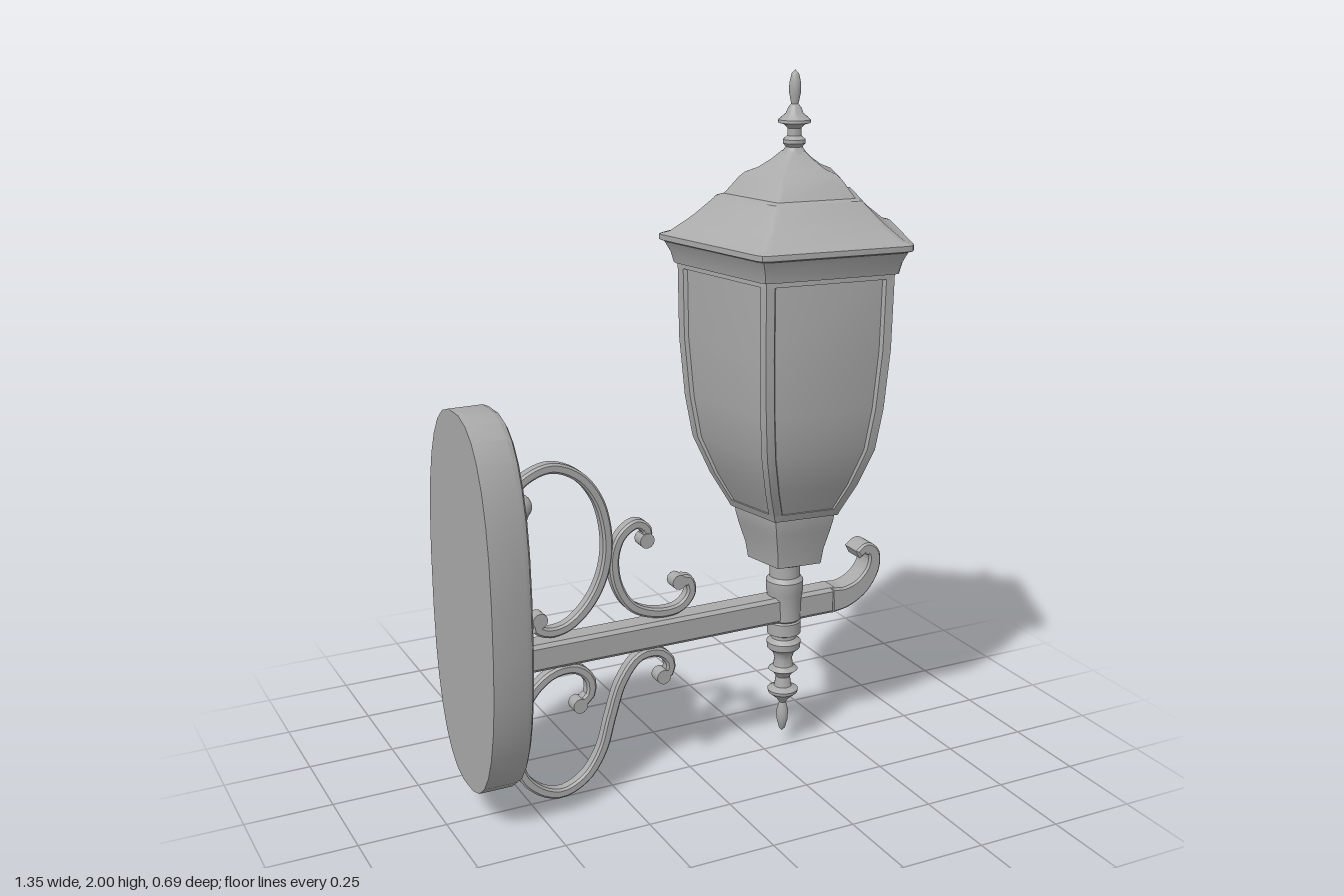
import * as THREE from 'three';
import { toCreasedNormals } from 'three/addons/utils/BufferGeometryUtils.js';

const metal = new THREE.MeshStandardMaterial({ color: 0xaaaaaa });
metal.name = 'greyMetal';
const LX = 0.315;   // lantern axis
const ZC = -0.009;  // centre plane of bracket and wall plate

function add(parent, name, geometry, x = 0, y = 0, z = 0) {
  const mesh = new THREE.Mesh(geometry, metal);
  mesh.name = name;
  mesh.position.set(x, y, z);
  parent.add(mesh);
  return mesh;
}

// Skin a closed solid over equal-length rings of Vector3
function loft(rings, crease = 0.45) {
  const pos = [];
  const tri = (...ps) => ps.forEach((p) => pos.push(p.x, p.y, p.z));
  const n = rings[0].length;
  for (let i = 0; i < rings.length - 1; i++) {
    for (let j = 0; j < n; j++) {
      const k = (j + 1) % n, a = rings[i], b = rings[i + 1];
      tri(a[j], b[j], a[k]);
      tri(a[k], b[j], b[k]);
    }
  }
  const middle = (r) => r.reduce((s, p) => s.add(p), new THREE.Vector3()).divideScalar(n);
  const first = rings[0], last = rings[rings.length - 1];
  const c0 = middle(first), c1 = middle(last);
  for (let j = 0; j < n; j++) {
    const k = (j + 1) % n;
    tri(c0, first[j], first[k]);
    tri(c1, last[k], last[j]);
  }
  const g = new THREE.BufferGeometry();
  g.setAttribute('position', new THREE.Float32BufferAttribute(pos, 3));
  return toCreasedNormals(g, crease);
}

const corner = (k, r, y) => {
  const a = THREE.MathUtils.degToRad(-84 + 72 * k);
  return new THREE.Vector3(r * Math.cos(a), y, r * Math.sin(a));
};

// Pentagon ring with softened corners
function pentagon(r, y, soft = 0.05) {
  const ring = [];
  for (let k = 0; k < 5; k++) {
    const c = corner(k, r, y);
    const p = c.clone().lerp(corner(k - 1, r, y), soft);
    const q = c.clone().lerp(corner(k + 1, r, y), soft);
    ring.push(p, p.clone().add(q).multiplyScalar(0.25).addScaledVector(c, 0.5), q);
  }
  return ring;
}
const pentaLoft = (profile, soft) => loft(profile.map(([r, y]) => pentagon(r, y, soft)));

const lathe = (profile) => toCreasedNormals(
  new THREE.LatheGeometry(profile.map(([r, y]) => new THREE.Vector2(r, y)), 20), 0.6);

// Flat bar of varying width following a curve in the xy plane
function bar(points, widthAt, depth, bevel, steps = 48) {
  const curve = new THREE.CatmullRomCurve3(points.map(([x, y]) => new THREE.Vector3(x, y, 0)), false, 'centripetal');
  const left = [], right = [];
  for (let i = 0; i <= steps; i++) {
    const t = i / steps, p = curve.getPointAt(t), d = curve.getTangentAt(t), h = widthAt(t) / 2;
    left.push(new THREE.Vector2(p.x - d.y * h, p.y + d.x * h));
    right.push(new THREE.Vector2(p.x + d.y * h, p.y - d.x * h));
  }
  const g = new THREE.ExtrudeGeometry(new THREE.Shape([...right, ...left.reverse()]), {
    depth: depth - 2 * bevel, bevelEnabled: true, bevelThickness: bevel,
    bevelSize: bevel, bevelOffset: -bevel, bevelSegments: 1,
  });
  g.translate(0, 0, bevel - depth / 2);
  return toCreasedNormals(g, 0.5);
}

// Oval ring facing +x; power above 2 makes it squarer
function oval(x, halfY, halfZ, power, n) {
  const sp = (v) => Math.sign(v) * Math.pow(Math.abs(v), 2 / power);
  return Array.from({ length: n }, (_, i) => {
    const a = ((i + 0.5) / n) * Math.PI * 2;
    return new THREE.Vector3(x, halfY * sp(Math.cos(a)), -halfZ * sp(Math.sin(a)));
  });
}

function makeLantern() {
  const lantern = new THREE.Group();
  lantern.name = 'lantern';
  lantern.position.x = LX;
  const body = [[0.165, 0.77], [0.225, 0.87], [0.275, 0.98], [0.297, 1.1], [0.313, 1.27], [0.317, 1.49]];

  add(lantern, 'glassPanels', pentaLoft(body.map(([r, y]) => [r * 0.96, y]), 0.02));

  // Corner posts, folded around each edge of the glass
  for (let k = 0; k < 5; k++) {
    add(lantern, 'cornerPost', loft(body.map(([r, y]) => {
      const c = corner(k, r, y);
      const side = (m) => c.clone().add(corner(m, r, y).sub(c).setLength(0.024));
      const a = side(k - 1), b = side(k + 1);
      const inner = (p) => new THREE.Vector3(p.x * 0.92, p.y, p.z * 0.92);
      return [inner(a), a, c, b, inner(b)];
    })));
  }
  add(lantern, 'upperBand', pentaLoft([[0.317, 1.465], [0.317, 1.49]], 0.02));
  add(lantern, 'lowerBand', pentaLoft([[0.166, 0.768], [0.177, 0.79]], 0.02));
  add(lantern, 'baseCup', pentaLoft([[0.114, 0.61], [0.122, 0.655], [0.142, 0.715], [0.152, 0.75], [0.155, 0.775]], 0.03));

  // Stepped roof with rim and skirt
  add(lantern, 'roof', pentaLoft([
    [0.333, 1.48], [0.342, 1.51], [0.36, 1.54], [0.374, 1.545], [0.374, 1.56], [0.345, 1.567],
    [0.28, 1.61], [0.225, 1.655], [0.215, 1.665], [0.193, 1.67], [0.152, 1.715],
    [0.137, 1.727], [0.1, 1.74], [0.062, 1.763], [0.034, 1.785]]));

  add(lantern, 'topFinial', lathe([
    [0.045, 1.765], [0.03, 1.785], [0.023, 1.795], [0.031, 1.805], [0.031, 1.815], [0.019, 1.825],
    [0.019, 1.845], [0.028, 1.855], [0.045, 1.86], [0.044, 1.868], [0.024, 1.885], [0.018, 1.9],
    [0.01, 1.91], [0.016, 1.94], [0.016, 1.965], [0.01, 1.99], [0, 2]]));
  return lantern;
}

function makeBracket() {
  const bracket = new THREE.Group();
  bracket.name = 'bracket';
  bracket.position.z = ZC;

  add(bracket, 'arm', bar([[-0.54, 0.45], [0.47, 0.45]], () => 0.08, 0.074, 0.01, 1));
  add(bracket, 'armCurl', bar(
    [[0.46, 0.45], [0.51, 0.453], [0.565, 0.48], [0.601, 0.53], [0.603, 0.575], [0.578, 0.597], [0.547, 0.58]],
    (t) => 0.08 - 0.052 * Math.pow(t, 0.8), 0.074, 0.006));

  // Decorative scrolls, each ending in small rounded knobs
  const scrolls = {
    upperScroll: [[-0.51, 0.865], [-0.535, 0.905], [-0.5, 0.955], [-0.42, 0.983], [-0.34, 0.95], [-0.28, 0.87],
      [-0.255, 0.75], [-0.27, 0.65], [-0.315, 0.57], [-0.38, 0.518], [-0.44, 0.512], [-0.474, 0.535], [-0.462, 0.553]],
    middleScroll: [[-0.138, 0.733], [-0.135, 0.762], [-0.165, 0.785], [-0.21, 0.76], [-0.235, 0.7], [-0.225, 0.61],
      [-0.18, 0.54], [-0.1, 0.508], [-0.03, 0.515], [0.003, 0.555], [-0.01, 0.595], [-0.038, 0.592]],
    lowerScroll: [[-0.348, 0.275], [-0.315, 0.3], [-0.315, 0.35], [-0.36, 0.389], [-0.43, 0.383], [-0.5, 0.32],
      [-0.537, 0.2], [-0.52, 0.09], [-0.46, 0.03], [-0.4, 0.015], [-0.33, 0.048], [-0.28, 0.12], [-0.25, 0.22],
      [-0.215, 0.32], [-0.16, 0.385], [-0.1, 0.388], [-0.063, 0.35], [-0.07, 0.315], [-0.088, 0.31]],
  };
  for (const [name, path] of Object.entries(scrolls)) {
    add(bracket, name, bar(path, () => 0.029, 0.036, 0.006, 64));
    for (const [x, y] of [path[0], path[path.length - 1]]) {
      add(bracket, 'scrollKnob', new THREE.CylinderGeometry(0.022, 0.022, 0.04, 12), x, y).rotation.x = Math.PI / 2;
    }
  }
  add(bracket, 'scrollBall', new THREE.SphereGeometry(0.035, 14, 10), -0.507, 0.885);

  // Turned post through the arm, with a drop finial below
  add(bracket, 'turnedStem', lathe([
    [0, 0.045], [0.009, 0.055], [0.017, 0.085], [0.017, 0.115], [0.01, 0.14], [0.02, 0.155], [0.044, 0.175],
    [0.046, 0.185], [0.026, 0.195], [0.021, 0.225], [0.03, 0.24], [0.044, 0.25], [0.03, 0.262], [0.026, 0.285],
    [0.032, 0.305], [0.049, 0.32], [0.051, 0.34], [0.037, 0.352], [0.037, 0.362], [0.05, 0.368], [0.05, 0.405],
    [0.046, 0.41], [0.05, 0.415], [0.052, 0.495], [0.055, 0.505], [0.055, 0.535], [0.045, 0.548],
    [0.045, 0.585], [0.062, 0.592], [0.062, 0.612], [0, 0.615]]), LX);
  return bracket;
}

function makeWallPlate() {
  const plate = new THREE.Group();
  plate.name = 'wallPlate';
  plate.position.z = ZC;
  const solid = (name, y, power, n, rings) =>
    add(plate, name, loft(rings.map(([x, h, w]) => oval(x, h, w, power, n))), 0, y);

  solid('backPlate', 0.635, 2.5, 32, [[-0.68, 0.537, 0.24], [-0.585, 0.537, 0.24], [-0.57, 0.53, 0.234], [-0.562, 0.515, 0.222]]);
  solid('armBossBase', 0.45, 2.6, 16, [[-0.565, 0.18, 0.108], [-0.553, 0.175, 0.104]]);
  solid('armBoss', 0.455, 2.6, 8, [[-0.555, 0.122, 0.078], [-0.53, 0.118, 0.072], [-0.52, 0.1, 0.06]]);
  add(plate, 'scrollPad', new THREE.BoxGeometry(0.014, 0.135, 0.115), -0.557, 0.888);
  add(plate, 'scrollPin', new THREE.BoxGeometry(0.05, 0.03, 0.03), -0.535, 0.885);
  for (const s of [-1, 1]) {
    add(plate, 'screw', new THREE.CylinderGeometry(0.009, 0.011, 0.014, 10), -0.556, 0.62, s * 0.185).rotation.z = -Math.PI / 2;
  }
  return plate;
}

export function createModel() {
  const model = new THREE.Group();
  model.name = 'wallLantern';
  model.add(makeWallPlate(), makeBracket(), makeLantern());
  return model;
}
